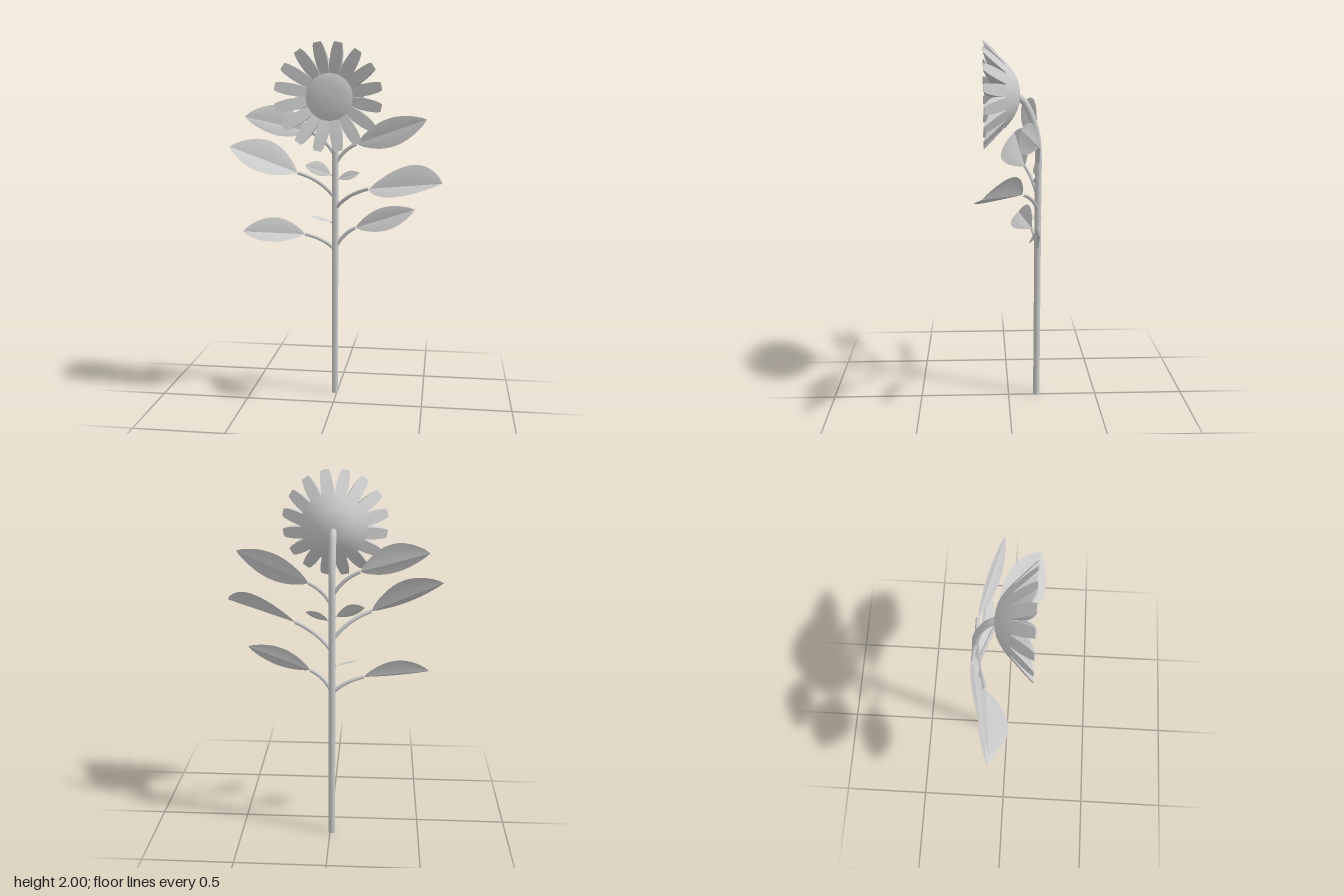
import * as THREE from 'three';

const V = (a) => new THREE.Vector3(...a);
const STEM_X = -0.011, STEM_Z = -0.161, HEAD_Y = 1.72;

const solid = new THREE.MeshStandardMaterial({ color: 0xcccccc });
const thin = new THREE.MeshStandardMaterial({ color: 0xcccccc, side: THREE.DoubleSide });

function add(parent, name, geometry, material = solid) {
  const mesh = new THREE.Mesh(geometry, material);
  mesh.name = name;
  parent.add(mesh);
  return mesh;
}

// Linear interpolation through [position, value] pairs
function profile(pairs, t) {
  for (let i = 1; i < pairs.length; i++) {
    const [a, va] = pairs[i - 1], [b, vb] = pairs[i];
    if (t <= b) return va + (vb - va) * (t - a) / (b - a);
  }
  return pairs[pairs.length - 1][1];
}

// One half of a blade, from the midrib out to its rounded edge
function halfBlade(base, tip, side) {
  const geo = new THREE.PlaneGeometry(1, 1, 3, 16);
  const pos = geo.attributes.position;
  const arch = new THREE.Vector3().subVectors(tip, base).cross(side).normalize();
  if (arch.y < 0) arch.negate();
  for (let i = 0; i < pos.count; i++) {
    const across = pos.getX(i) + 0.5, along = pos.getY(i) + 0.5;
    const width = Math.pow(Math.max(0, Math.sin(Math.PI * along)), 0.8);
    const p = base.clone().lerp(tip, along).addScaledVector(side, across * width);
    p.addScaledVector(arch, 0.04 * side.length() * Math.sin(Math.PI * across) * width);
    pos.setXYZ(i, p.x, p.y, p.z);
  }
  geo.computeVertexNormals();
  return geo;
}

// Leaf folded along its midrib, on a stalk that curves out of the stem
function leaf(parent, name, { root, base, tip, upper, lower, r = 0.01 }) {
  const group = new THREE.Group();
  group.name = name;
  const a = V([STEM_X, root, STEM_Z]), b = V(base), t = V(tip);
  const bend = new THREE.Vector3(
    a.x + (b.x - a.x) * 0.35, a.y + (b.y - a.y) * 0.72, a.z + (b.z - a.z) * 0.35);
  const stalk = new THREE.QuadraticBezierCurve3(a, bend, b);
  add(group, 'stalk', new THREE.TubeGeometry(stalk, 12, r, 8));
  add(group, 'upperBlade', halfBlade(b, t, V(upper)), thin);
  add(group, 'lowerBlade', halfBlade(b, t, V(lower)), thin);
  parent.add(group);
}

// Wedge-shaped petal: deep where it leaves the head, thin at the tip
function petalGeometry() {
  const widths = [[0.12, 0.046], [0.15, 0.057], [0.18, 0.063], [0.22, 0.063],
    [0.25, 0.058], [0.272, 0.05], [0.285, 0.04]];
  const back = [[0.12, -0.015], [0.15, 0.003], [0.18, 0.028], [0.23, 0.076], [0.285, 0.13]];
  const front = [[0.12, 0.074], [0.2, 0.106], [0.285, 0.135]];
  const geo = new THREE.BoxGeometry(1, 1, 1, 2, 12, 1);
  const pos = geo.attributes.position;
  for (let i = 0; i < pos.count; i++) {
    const r = 0.12 + 0.165 * (pos.getY(i) + 0.5);
    const z = profile(pos.getZ(i) > 0 ? front : back, r);
    pos.setXYZ(i, pos.getX(i) * profile(widths, r), r, z);
  }
  geo.computeVertexNormals();
  return geo;
}

export function createModel() {
  const model = new THREE.Group();
  model.name = 'flower';

  // Stem, nodding forward into the back of the head
  const path = [[0, STEM_Z], [0.7, STEM_Z], [1.2, STEM_Z], [1.4, STEM_Z], [1.5, -0.153],
    [1.6, -0.125], [1.68, -0.085], [1.715, -0.045]].map(([y, z]) => V([STEM_X, y, z]));
  add(model, 'stem', new THREE.TubeGeometry(new THREE.CatmullRomCurve3(path), 60, 0.0185, 16));
  const foot = add(model, 'stemEnd', new THREE.CircleGeometry(0.0185, 16).rotateX(Math.PI / 2));
  foot.position.set(STEM_X, 0, STEM_Z);

  // Flower head facing +z
  const head = new THREE.Group();
  head.name = 'head';
  head.position.set(STEM_X, HEAD_Y, 0);
  model.add(head);

  const lathe = (pts) => new THREE.LatheGeometry(
    pts.map(([r, z]) => new THREE.Vector2(r, z)), 48).rotateX(Math.PI / 2);
  add(head, 'cup', lathe([[0, -0.06], [0.025, -0.06], [0.05, -0.056], [0.08, -0.048],
    [0.108, -0.034], [0.135, -0.016], [0.155, 0.0], [0.178, 0.021]]), thin);
  add(head, 'disc', lathe([[0.128, 0.074], [0.11, 0.081], [0.085, 0.087],
    [0.05, 0.091], [0, 0.093]]), thin);

  const petal = petalGeometry();
  const count = 16;
  for (let i = 0; i < count; i++) {
    add(head, 'petal', petal).rotation.z = (i + 0.5) * 2 * Math.PI / count;
  }

  // Large leaves
  leaf(model, 'lowerRightLeaf', { root: 0.855, base: [-0.18, 0.945, -0.14], tip: [-0.53, 0.963, -0.08],
    upper: [0, 0.085, -0.025], lower: [0, -0.037, 0.08] });
  leaf(model, 'lowerLeftLeaf', { root: 0.86, base: [0.105, 0.985, -0.16], tip: [0.44, 1.1, -0.127],
    upper: [-0.02, 0.06, -0.01], lower: [0.02, -0.055, 0.048] });
  leaf(model, 'middleRightLeaf', { root: 1.15, base: [-0.215, 1.3, -0.1], tip: [-0.59, 1.445, -0.057],
    upper: [0.03, 0.1, -0.05], lower: [-0.01, -0.055, 0.107] });
  leaf(model, 'middleLeftLeaf', { root: 1.09, base: [0.19, 1.22, -0.065], tip: [0.59, 1.28, 0.15],
    upper: [0.04, 0.11, -0.055], lower: [-0.06, -0.045, 0.117] });
  leaf(model, 'upperRightLeaf', { root: 1.39, base: [-0.155, 1.525, -0.16], tip: [-0.51, 1.61, -0.095],
    upper: [0.02, 0.1, -0.025], lower: [0, -0.06, 0.03] });
  leaf(model, 'upperLeftLeaf', { root: 1.34, base: [0.11, 1.46, -0.155], tip: [0.5, 1.6, -0.04],
    upper: [-0.02, 0.07, -0.015], lower: [0.02, -0.075, 0.04] });

  // Small young leaves close to the stem
  leaf(model, 'smallRightLeaf', { root: 1.27, base: [-0.035, 1.285, -0.16], tip: [-0.18, 1.335, -0.16],
    upper: [0.01, 0.045, -0.025], lower: [-0.01, -0.025, 0.02], r: 0.005 });
  leaf(model, 'smallLeftLeaf', { root: 1.25, base: [0.01, 1.262, -0.155], tip: [0.13, 1.3, -0.135],
    upper: [-0.008, 0.025, -0.015], lower: [0.008, -0.018, 0.02], r: 0.005 });
  leaf(model, 'smallLowRightLeaf', { root: 1.005, base: [-0.035, 1.015, -0.165], tip: [-0.15, 1.045, -0.165],
    upper: [0, 0.006, -0.025], lower: [0, -0.002, 0.03], r: 0.005 });

  return model;
}
